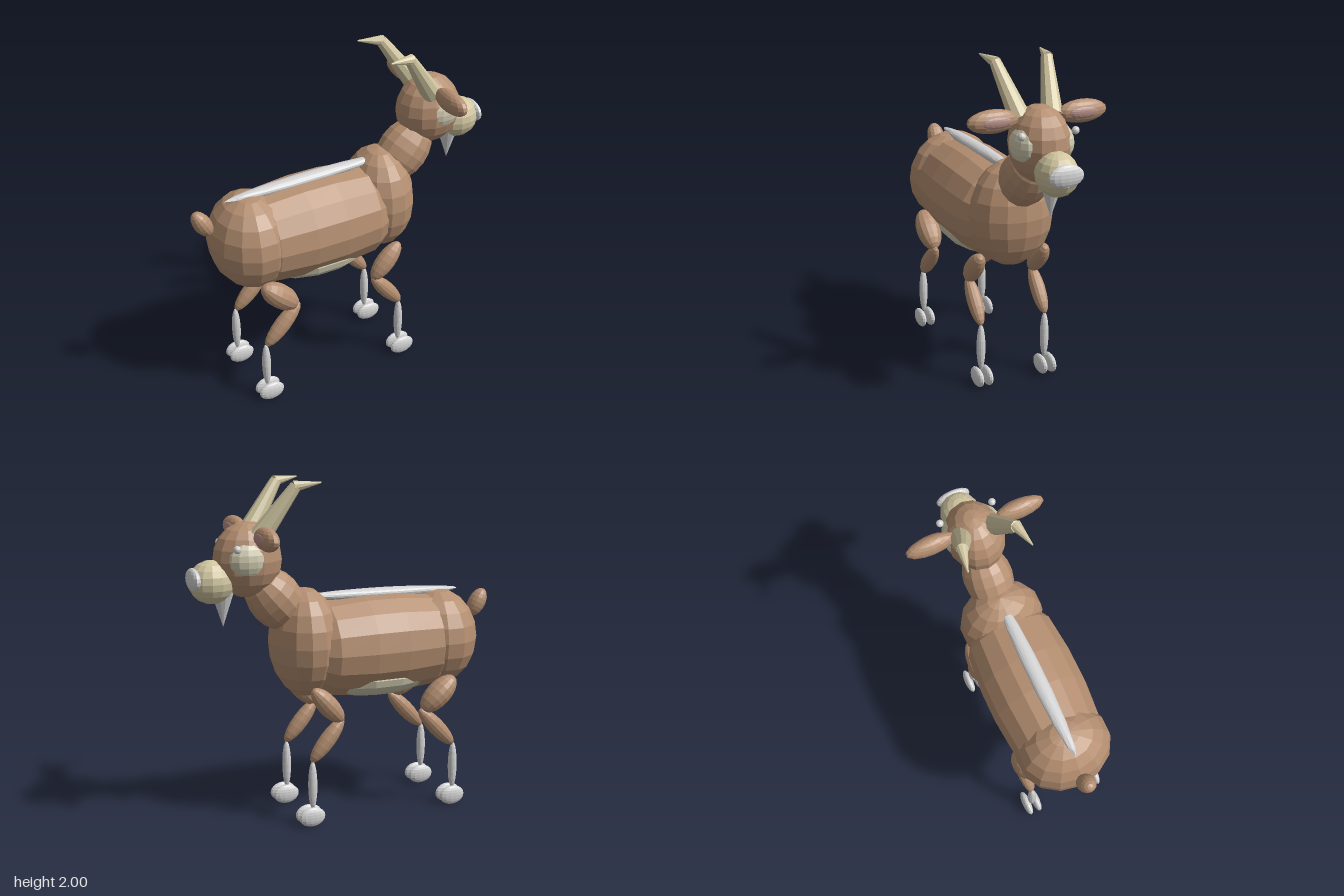
import * as THREE from 'three';

function mat(name, color) {
  const m = new THREE.MeshStandardMaterial({ color, flatShading: true });
  m.name = name;
  return m;
}

export function createModel() {
  const brown = mat('brown coat', 0xb58f71);
  const cream = mat('cream patch', 0xd0cbb0);
  const beige = mat('beige horn', 0xd1c6a1);
  const grey = mat('light grey', 0xd3d3d3);
  const pink = mat('inner ear pink', 0xb58d85);

  const model = new THREE.Group();
  model.name = 'goat';
  // The animal looks along its own +x and is turned slightly about y
  const goat = new THREE.Group();
  goat.name = 'turnedBody';
  goat.rotation.y = -0.175;
  goat.position.set(0.01, 0, -0.06);
  model.add(goat);

  const ball = new THREE.SphereGeometry(1, 14, 10);

  function add(name, geometry, material, x, y, z) {
    const mesh = new THREE.Mesh(geometry, material);
    mesh.name = name;
    mesh.position.set(x, y, z);
    goat.add(mesh);
    return mesh;
  }
  // Ellipsoid at a centre with three radii
  function blob(name, material, [x, y, z], [rx, ry, rz]) {
    const mesh = add(name, ball, material, x, y, z);
    mesh.scale.set(rx, ry, rz);
    return mesh;
  }
  // Ellipsoid stretched between two points of a side plane
  function limb(name, material, [ax, ay], [bx, by], z, width, depth) {
    const mesh = blob(name, material, [(ax + bx) / 2, (ay + by) / 2, z],
      [width, Math.hypot(bx - ax, by - ay) / 2, depth]);
    mesh.rotation.z = Math.atan2(ax - bx, by - ay);
    return mesh;
  }
  // Tapered tube between two points
  function taper(name, material, a, b, ra, rb) {
    const from = new THREE.Vector3(...a), dir = new THREE.Vector3(...b).sub(from);
    const geometry = new THREE.CylinderGeometry(rb, ra, dir.length(), 10);
    const mid = from.clone().addScaledVector(dir, 0.5);
    const mesh = add(name, geometry, material, mid.x, mid.y, mid.z);
    mesh.quaternion.setFromUnitVectors(new THREE.Vector3(0, 1, 0), dir.normalize());
  }

  // Barrel of the body, a turned profile laid along x
  const profile = [[0, -0.58], [0.6, -0.5], [0.93, -0.33], [1, -0.1], [1, 0.1],
    [0.93, 0.33], [0.6, 0.5], [0, 0.58]].map(([r, y]) => new THREE.Vector2(r, y));
  const barrel = new THREE.LatheGeometry(profile, 16);
  barrel.rotateZ(-Math.PI / 2);
  add('barrel', barrel, brown, -0.21, 1.0, 0).scale.set(1, 0.305, 0.292);

  blob('chest', brown, [0.245, 1.05, 0], [0.203, 0.322, 0.255]);
  blob('rump', brown, [-0.615, 1.01, 0], [0.242, 0.292, 0.284]);
  blob('belly', cream, [-0.2, 0.825, 0], [0.4, 0.133, 0.245]);
  blob('backStripe', grey, [-0.24, 1.3, 0], [0.52, 0.032, 0.047]).rotation.z = 0.02;
  limb('tail', brown, [-0.945, 1.27], [-0.855, 1.11], 0, 0.052, 0.056);

  // Neck and head
  limb('neck', brown, [0.28, 1.16], [0.56, 1.47], 0, 0.157, 0.145);
  blob('head', brown, [0.585, 1.555, 0], [0.2, 0.216, 0.17]);
  blob('muzzle', beige, [0.795, 1.442, 0], [0.135, 0.124, 0.118]);
  blob('nose', grey, [0.903, 1.46, 0], [0.033, 0.066, 0.104]);
  add('beard', new THREE.ConeGeometry(0.072, 0.22, 12), grey, 0.735, 1.29, 0).rotation.x = Math.PI;

  for (const s of [-1, 1]) {
    blob('cheekPatch', cream, [0.61, 1.565, s * 0.095], [0.124, 0.113, 0.084]);
    blob('eye', grey, [0.697, 1.638, s * 0.16], [0.022, 0.022, 0.022]);
    blob('ear', brown, [0.565, 1.702, s * 0.268], [0.052, 0.066, 0.15]);
    blob('innerEar', pink, [0.603, 1.702, s * 0.262], [0.018, 0.034, 0.088]);
    taper('horn', beige, [0.545, 1.69, s * 0.095], [0.35, 1.972, s * 0.157], 0.062, 0.033);
    taper('hornTip', beige, [0.362, 1.968, s * 0.156], [0.21, 1.987, s * 0.186], 0.033, 0.004);

    // Legs: upper, lower, shin and a cloven hoof
    const z = s * 0.209;
    limb('frontUpperLeg', brown, [0.09, 0.605], [0.277, 0.815], z, 0.06, 0.056);
    limb('frontLowerLeg', brown, [0.088, 0.622], [0.288, 0.382], z, 0.048, 0.046);
    limb('hindUpperLeg', brown, [-0.64, 0.795], [-0.428, 0.605], z, 0.073, 0.076);
    limb('hindLowerLeg', brown, [-0.636, 0.375], [-0.408, 0.617], z, 0.05, 0.047);
    for (const [end, x] of [['front', 0.28], ['hind', -0.638]]) {
      blob(end + 'Shin', grey, [x, 0.24, z], [0.027, 0.147, 0.027]);
      for (const t of [-1, 1]) {
        blob(end + 'Hoof', grey, [x + 0.015, 0.058, z + t * 0.03], [0.081, 0.058, 0.027]);
      }
    }
  }
  return model;
}
